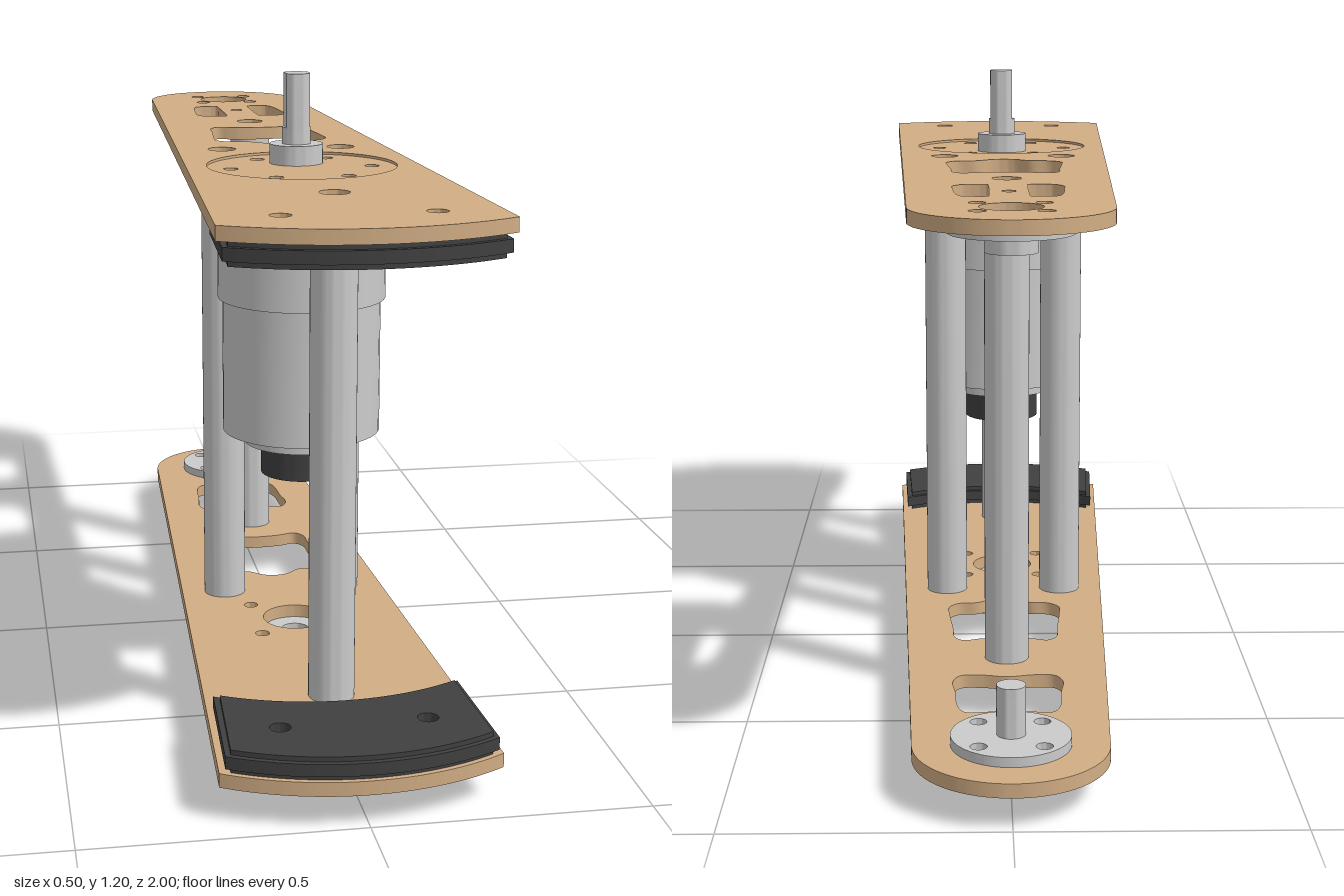
import * as THREE from 'three';
import { toCreasedNormals } from 'three/addons/utils/BufferGeometryUtils.js';

const wood = new THREE.MeshStandardMaterial({ color: 0xd2ae85 });
const grey = new THREE.MeshStandardMaterial({ color: 0xcccccc });
const black = new THREE.MeshStandardMaterial({ color: 0x404040 });

const HUB_Z = -0.825, SHAFT_Z = 0.235, MOTOR_Z = 0.3;
const POSTS = [[0, 0.635], [0.122, 0.06], [-0.122, 0.06], [0, -0.383]];
const PAD_HOLES = [[0.132, 0.855], [-0.132, 0.855]];
const corners = (d, z) => [[d, z + d], [-d, z + d], [d, z - d], [-d, z - d]];

export function createModel() {
  const model = new THREE.Group();

  function add(name, geometry, material) {
    const mesh = new THREE.Mesh(toCreasedNormals(geometry, 0.6), material);
    mesh.name = name;
    model.add(mesh);
  }
  // Horizontal slab: the shape is drawn in x and z
  function slab(name, shape, y0, y1, material) {
    const g = new THREE.ExtrudeGeometry(shape, { depth: y1 - y0, bevelEnabled: false, curveSegments: 32 });
    g.rotateX(Math.PI / 2).translate(0, y1, 0);
    add(name, g, material);
  }
  // Upright round part at (x, z)
  function rod(name, r, y0, y1, x, z, material = grey) {
    const g = new THREE.CylinderGeometry(r, r, y1 - y0, 48);
    g.translate(x, (y0 + y1) / 2, z);
    add(name, g, material);
  }
  // Upright tube at (x, z)
  function tube(name, ri, r, y0, y1, x, z) {
    const profile = [[ri, y0], [r, y0], [r, y1], [ri, y1], [ri, y0]].map(p => new THREE.Vector2(...p));
    add(name, new THREE.LatheGeometry(profile, 40).translate(x, 0, z), grey);
  }
  function drill(shape, r, points) {
    for (const [x, z] of points) shape.holes.push(new THREE.Path().absarc(x, z, r, 0, Math.PI * 2, true));
    return shape;
  }
  const disc = (r, x, z) => new THREE.Shape().absarc(x, z, r, 0, Math.PI * 2, false);

  // Rounded opening through a few points
  function opening(points) {
    const curve = new THREE.CatmullRomCurve3(points.map(([x, z]) => new THREE.Vector3(x, z, 0)), true, 'centripetal');
    return new THREE.Path(curve.getPoints(80).slice(0, -1).map(p => new THREE.Vector2(p.x, p.y)));
  }
  const mirrored = half => [...half, ...half.filter(p => p[0] > 0).reverse().map(([x, z]) => [-x, z])];

  const middleOpening = () => opening(mirrored([
    [0, -0.27], [0.05, -0.275], [0.085, -0.285], [0.103, -0.265], [0.106, -0.22], [0.115, -0.12],
    [0.116, -0.075], [0.095, -0.05], [0.055, -0.045], [0.025, -0.02], [0, -0.014],
  ]));

  // Tapered plate with a round back and a curved front
  function plateShape() {
    const s = new THREE.Shape();
    const a = Math.atan2(0.931 - 0.513, 0.25);
    s.absarc(0, 0.513, 0.487, a, Math.PI - a, false);
    s.absarc(0, HUB_Z, 0.175, Math.PI, Math.PI * 2, false);
    s.closePath();
    drill(s, 0.028, POSTS);
    drill(s, 0.019, PAD_HOLES);
    drill(s, 0.055, [[0, HUB_Z]]);
    drill(s, 0.015, corners(0.057, HUB_Z));
    s.holes.push(middleOpening());
    return s;
  }

  // Upper plate: two slots and a round seat for the motor
  const upper = plateShape();
  for (const m of [1, -1]) {
    upper.holes.push(opening([
      [0.038, -0.675], [0.06, -0.677], [0.083, -0.672], [0.093, -0.645], [0.1, -0.56], [0.101, -0.515],
      [0.085, -0.491], [0.06, -0.487], [0.038, -0.49], [0.036, -0.51], [0.036, -0.65],
    ].map(([x, z]) => [x * m, z])));
  }
  drill(upper, 0.013, [[0, -0.597]]);
  drill(upper, 0.183, [[0, MOTOR_Z]]);
  slab('upperPlate', upper, 1.005, 1.031, wood);

  const seat = disc(0.183, 0, MOTOR_Z);
  const screws = Array.from({ length: 6 }, (_, i) => [0.137 * Math.cos(i * Math.PI / 3), MOTOR_Z + 0.137 * Math.sin(i * Math.PI / 3)]);
  drill(seat, 0.014, screws);
  slab('motorSeat', seat, 1.005, 1.026, wood);

  // Lower plate: one wide rear opening and a bearing hole
  const lower = plateShape();
  lower.holes.push(opening(mirrored([
    [0, -0.67], [0.045, -0.676], [0.08, -0.677], [0.094, -0.65], [0.1, -0.57], [0.105, -0.52],
    [0.09, -0.488], [0.05, -0.485], [0, -0.495],
  ])));
  drill(lower, 0.065, [[0, SHAFT_Z]]);
  drill(lower, 0.014, corners(0.08, SHAFT_Z));
  slab('lowerPlate', lower, 0.06, 0.086, wood);

  // Curved front pads in three layers, the middle one standing out
  function padShape(d) {
    const s = new THREE.Shape();
    const R = 0.487 - d, a = Math.acos((0.24 - d) / R);
    s.absarc(0, 0.513, R, a, Math.PI - a, false);
    const r = 0.433 + d, b = Math.acos((0.228 - d) / r);
    s.absarc(0, 0.317, r, Math.PI - b, b, true);
    s.closePath();
    return drill(s, 0.019, PAD_HOLES);
  }
  for (const [name, y] of [['lowerPad', 0.086], ['upperPad', 0.963]]) {
    slab(name + 'Bottom', padShape(0.01), y, y + 0.01, black);
    slab(name + 'Middle', padShape(0), y + 0.01, y + 0.033, black);
    slab(name + 'Top', padShape(0.01), y + 0.033, y + 0.042, black);
  }

  // Spacer posts
  for (const [x, z] of POSTS) tube('spacerPost', 0.014, 0.043, 0.086, 1.005, x, z);

  // Motor hanging under the upper plate
  rod('gearbox', 0.163, 0.775, 1.005, 0, MOTOR_Z);
  rod('motorBody', 0.154, 0.51, 0.775, 0, MOTOR_Z);
  rod('motorEndStep', 0.112, 0.485, 0.51, 0, MOTOR_Z);
  rod('motorCap', 0.08, 0.422, 0.485, 0, MOTOR_Z + 0.003, black);

  // Output shaft with flats above a round boss
  rod('shaftBoss', 0.052, 1.005, 1.064, 0, SHAFT_Z);
  rod('shaftBase', 0.028, 1.064, 1.096, 0, SHAFT_Z);
  const flatted = new THREE.Shape(disc(0.028, 0, 0).getPoints(24)
    .map(p => new THREE.Vector2(THREE.MathUtils.clamp(p.x, -0.022, 0.025), p.y + SHAFT_Z)));
  slab('shaftTip', flatted, 1.096, 1.2, grey);

  // Flanged bearing under the lower plate
  const h = 0.097;
  const flange = new THREE.Shape([[-h, -h], [h, -h], [h, h], [-h, h]].map(([x, z]) => new THREE.Vector2(x, z + SHAFT_Z)));
  drill(flange, 0.06, [[0, SHAFT_Z]]);
  drill(flange, 0.014, corners(0.08, SHAFT_Z));
  slab('bearingFlange', flange, 0, 0.03, grey);
  tube('bearingHousing', 0.06, 0.085, 0.03, 0.06, 0, SHAFT_Z);
  tube('bearingRing', 0.028, 0.06, 0.012, 0.06, 0, SHAFT_Z);

  // Rear hubs: a pin below, a bored boss above
  const hub = bore => drill(drill(disc(0.107, 0, HUB_Z), 0.015, corners(0.057, HUB_Z)), 0.015, bore ? [[0, HUB_Z]] : []);
  slab('lowerHub', hub(false), 0.086, 0.104, grey);
  rod('lowerHubPin', 0.026, 0.104, 0.195, 0, HUB_Z);
  slab('upperHub', hub(true), 0.987, 1.005, grey);
  tube('upperHubBoss', 0.015, 0.046, 0.955, 0.987, 0, HUB_Z);

  return model;
}
